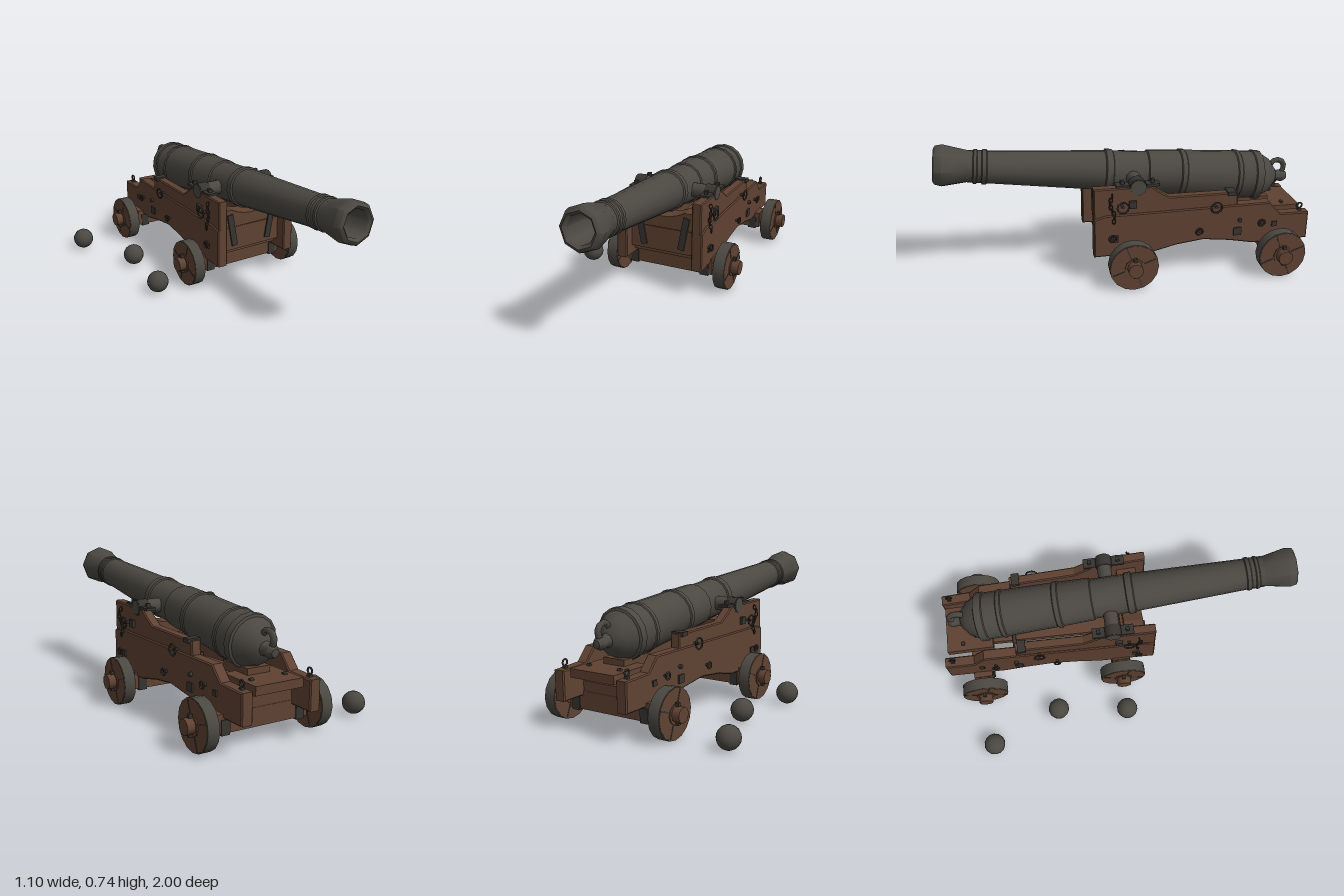
import * as THREE from 'three';
import { toCreasedNormals } from 'three/addons/utils/BufferGeometryUtils.js';

const mat = (name, color) => {
  const m = new THREE.MeshStandardMaterial({ color });
  m.name = name;
  return m;
};

export function createModel() {
  const iron = mat('gun iron', 0x4b4842);
  const wood = mat('carriage wood', 0x5f4232);
  const dark = mat('dark fittings', 0x373531);
  const model = new THREE.Group();
  const gun = new THREE.Group();
  gun.name = 'gunAndCarriage';
  gun.position.x = 0.143;
  model.add(gun);

  const add = (name, geo, material, x = 0, y = 0, z = 0, parent = gun) => {
    const m = new THREE.Mesh(geo, material);
    m.name = name;
    m.position.set(x, y, z);
    parent.add(m);
    return m;
  };
  const box = (name, material, w, h, d, x, y, z) =>
    add(name, new THREE.BoxGeometry(w, h, d), material, x, y, z);
  // cylinder lying along x
  const rod = (name, material, r, len, x, y, z, sides = 12) =>
    add(name, new THREE.CylinderGeometry(r, r, len, sides).rotateZ(Math.PI / 2), material, x, y, z);
  const lathe = (pts, sides, crease) => toCreasedNormals(
    new THREE.LatheGeometry(pts.map(([t, r]) => new THREE.Vector2(r, t)), sides), crease);

  // Barrel, built along its own axis and tilted up at the muzzle
  const barrel = new THREE.Group();
  barrel.name = 'barrel';
  barrel.position.y = 0.537;
  barrel.rotation.x = Math.PI / 2 - 0.097;
  gun.add(barrel);
  add('barrelBody', lathe([
    [-0.875, 0], [-0.87, 0.045], [-0.83, 0.095], [-0.775, 0.125], [-0.77, 0.138], [-0.73, 0.138],
    [-0.725, 0.132], [-0.65, 0.132], [-0.645, 0.137], [-0.625, 0.137], [-0.62, 0.131],
    [-0.34, 0.125], [-0.335, 0.131], [-0.31, 0.131], [-0.305, 0.124], [-0.13, 0.119],
    [-0.125, 0.111], [0.06, 0.108], [0.065, 0.116], [0.1, 0.116], [0.105, 0.107],
    [0.72, 0.086], [0.725, 0.092], [0.745, 0.092], [0.75, 0.086], [0.77, 0.086],
    [0.775, 0.091], [0.79, 0.091], [0.795, 0.084], [0.82, 0.085],
  ], 16, 0.6), iron, 0, 0, 0, barrel);
  add('muzzle', lathe([
    [0.8, 0.084], [0.85, 0.094], [0.95, 0.115], [0.985, 0.107], [0.995, 0.09],
    [0.98, 0.074], [0.6, 0.066], [0.6, 0],
  ], 8, 0.85), iron, 0, 0, 0, barrel);
  // Breech knob with its rope loop
  add('breechKnob', lathe([
    [-0.95, 0], [-0.945, 0.022], [-0.92, 0.036], [-0.885, 0.03], [-0.85, 0.05],
  ], 8, 0.85), iron, 0, 0, 0, barrel);
  const loop = add('breechLoop', new THREE.TorusGeometry(0.042, 0.016, 6, 10), iron, 0, -0.885, -0.05, barrel);
  loop.rotation.y = Math.PI / 2;
  rod('trunnions', iron, 0.04, 0.49, 0, 0.53, -0.04, 12);

  // Cheek planks: outline given as [z, y], following the slight inward taper to the rear
  const cheek = (name, pts, thick, s, offset) => {
    const shape = new THREE.Shape(pts.map(([z, y]) => new THREE.Vector2(-z, y)));
    const geo = new THREE.ExtrudeGeometry(shape, {
      depth: thick - 0.012, bevelEnabled: true, bevelThickness: 0.006,
      bevelSize: 0.006, bevelOffset: -0.006, bevelSegments: 1,
    });
    geo.translate(0, 0, -(thick - 0.012) / 2).rotateY(Math.PI / 2);
    const p = geo.attributes.position;
    for (let i = 0; i < p.count; i++) p.setX(i, p.getX(i) + s * (offset + 0.027 * p.getZ(i)));
    geo.computeVertexNormals();
    add(name, geo, wood);
  };
  const lower = [
    [0.195, 0.155], [0.195, 0.37], [0.13, 0.387], [-0.77, 0.387], [-0.835, 0.315], [-1, 0.31], [-1, 0.155],
    [-0.68, 0.155], [-0.55, 0.182], [-0.4, 0.202], [-0.25, 0.185], [-0.12, 0.155],
  ];
  const upper = [
    [0.195, 0.36], [0.195, 0.535], [-0.11, 0.53], [-0.15, 0.5], [-0.21, 0.462], [-0.585, 0.457], [-0.59, 0.375],
  ];
  const eyebolt = (s, y, z, r = 0.018) => {
    const x = s * (0.253 + 0.027 * z);
    rod('eyeboltShank', dark, 0.008, 0.03, x, y, z, 6);
    add('eyeboltRing', new THREE.TorusGeometry(r, 0.005, 5, 10).rotateY(Math.PI / 2), dark, x + s * 0.018, y, z);
  };

  for (const s of [-1, 1]) {
    cheek('lowerCheek', lower, 0.062, s, 0.219);
    cheek('upperCheek', upper, 0.054, s, 0.215);

    // Cap over the trunnion
    rod('trunnionCap', dark, 0.046, 0.062, s * 0.21, 0.528, -0.04, 10);
    for (const dz of [0.04, -0.12]) {
      box('capPlate', dark, 0.056, 0.014, 0.07, s * 0.21, 0.536, dz);
      box('capBolt', dark, 0.02, 0.03, 0.02, s * 0.21, 0.548, dz);
    }

    // Side bolts, plates and rings
    for (const [y, z, w] of [[0.255, 0.085, 0.036], [0.235, -0.59, 0.044], [0.44, -0.01, 0.04], [0.26, -0.8, 0.028]])
      box('boltPlate', dark, 0.016, w, w, s * (0.25 + 0.027 * z), y, z);
    eyebolt(s, 0.392, -0.46, 0.03);
    eyebolt(s, 0.435, 0.045, 0.03);
    eyebolt(s, 0.265, 0.1);
    eyebolt(s, 0.26, -0.37);
    eyebolt(s, 0.28, -0.72);
    box('cheekClamp', dark, 0.07, 0.022, 0.045, s * 0.203, 0.455, -0.55);
    add('rearRing', new THREE.TorusGeometry(0.016, 0.005, 5, 10).rotateY(Math.PI / 2), dark, s * 0.192, 0.34, -0.955);
    rod('rearRingFoot', dark, 0.011, 0.02, s * 0.192, 0.316, -0.955, 6);

    // Hanging chain, alternating links
    for (let i = 0; i < 8; i++) {
      const link = new THREE.TorusGeometry(0.011, 0.0035, 4, 8).scale(0.8, 1.2, 1);
      if (i % 2) link.rotateY(Math.PI / 2);
      add('chainLink', link, dark, s * (0.262 + 0.006 * Math.sin(i)), 0.5 - i * 0.02, 0.1 + 0.012 * Math.sin(i * 0.8));
    }

    // Slanted iron strap across the front boards
    const strap = box('frontStrap', dark, 0.036, 0.19, 0.009, s * 0.127, 0.333, 0.145);
    strap.rotation.z = -s * 0.18;
  }

  // Front boards: the upper one is hollowed for the barrel
  const t = new THREE.Shape();
  t.moveTo(-0.2, 0.35);
  t.lineTo(0.2, 0.35);
  t.lineTo(0.2, 0.452);
  t.lineTo(0.13, 0.452);
  t.quadraticCurveTo(0, 0.38, -0.13, 0.452);
  t.lineTo(-0.2, 0.452);
  add('upperTransom', new THREE.ExtrudeGeometry(t, { depth: 0.11, bevelEnabled: false, curveSegments: 6 }), wood, 0, 0, 0.03);
  box('lowerTransom', wood, 0.4, 0.135, 0.12, 0, 0.278, 0.075);
  box('frontSill', wood, 0.4, 0.025, 0.1, 0, 0.192, 0.05);

  // Bed planks, wedge and cross bolt
  box('rearBed', wood, 0.27, 0.045, 0.26, 0, 0.3, -0.85);
  const bed = box('longBed', wood, 0.19, 0.035, 0.72, 0, 0.25, -0.38);
  bed.rotation.x = 0.06;
  box('wedge', wood, 0.13, 0.05, 0.2, 0, 0.33, -0.72);
  rod('crossBolt', dark, 0.011, 0.5, 0, 0.3, -0.6, 8);
  for (const s of [-1, 1]) rod('bedBolt', dark, 0.01, 0.02, s * 0.095, 0.325, -0.89, 6);

  // Axles and wheels
  for (const z of [0, -0.81]) {
    box('axleBeam', wood, 0.52, 0.095, 0.105, 0, 0.13, z);
    box('axleBolster', wood, 0.36, 0.06, 0.1, 0, 0.2, z);
    rod('axleSpindle', wood, 0.04, 0.81, 0, 0.133, z, 10);
    for (const s of [-1, 1]) {
      box('axleStrap', dark, 0.048, 0.075, 0.115, s * 0.215, 0.112, z);
      const wheel = new THREE.Group();
      wheel.name = 'wheel';
      wheel.position.set(s * 0.325, 0.131, z);
      gun.add(wheel);
      // iron tread with wooden faces just proud of it
      const across = (geo) => geo.rotateZ(Math.PI / 2);
      add('wheelTread', across(toCreasedNormals(new THREE.CylinderGeometry(0.13, 0.13, 0.062, 16), 0.6)), iron, 0, 0, 0, wheel);
      add('wheelFace', across(new THREE.CylinderGeometry(0.126, 0.126, 0.066, 16)), wood, 0, 0, 0, wheel);
      add('wheelHub', across(new THREE.CylinderGeometry(0.052, 0.052, 0.078, 10)), wood, 0, 0, 0, wheel);
      for (let i = 0; i < 4; i++) {
        const a = i * Math.PI / 2 + 0.35;
        const seam = add('wheelSeam', new THREE.BoxGeometry(0.07, 0.07, 0.007), dark,
          0, 0.087 * Math.cos(a), 0.087 * Math.sin(a), wheel);
        seam.rotation.x = a;
      }
      box('linchpin', dark, 0.018, 0.11, 0.018, s * 0.372, 0.135, z);
    }
  }

  // Shot lying beside the gun
  for (const [x, z] of [[-0.495, -0.79], [-0.335, -0.4], [-0.385, 0]])
    add('cannonball', new THREE.SphereGeometry(0.06, 14, 10), iron, x, 0.063, z, model);

  return model;
}
